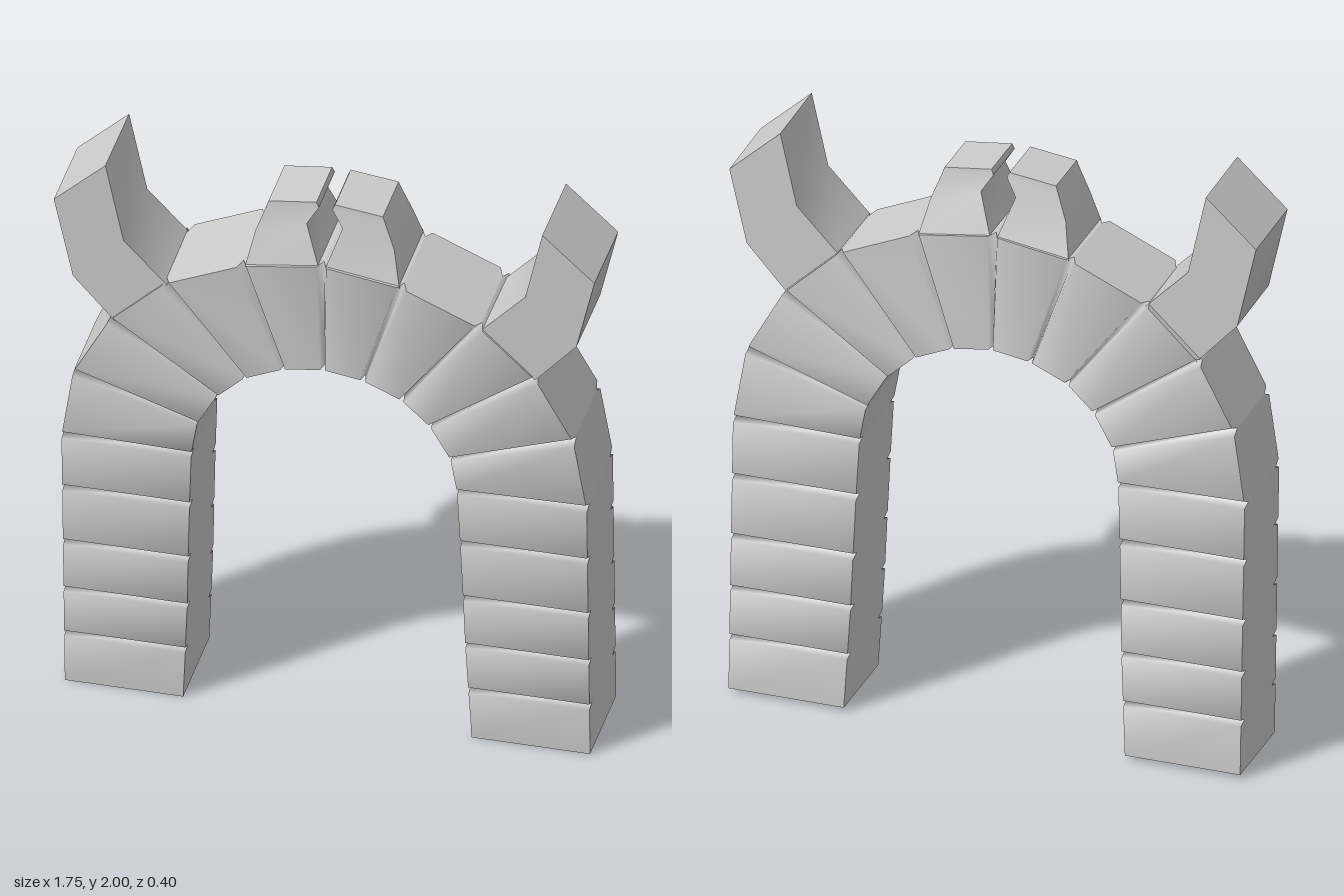
import * as THREE from 'three';
import { mergeGeometries } from 'three/addons/utils/BufferGeometryUtils.js';

// Skins four-cornered rings [leftX, leftY, rightX, rightY, halfDepth], listed along the direction of travel.
// Side order: 0 front, 1 right, 2 back, 3 left.
function loft(rings, { flat = [], cap = true } = {}) {
  const corners = rings.map(([ax, ay, bx, by, h]) => [[ax, ay, h], [bx, by, h], [bx, by, -h], [ax, ay, -h]]);
  const parts = [];
  const add = (points, index, isFlat) => {
    let g = new THREE.BufferGeometry();
    g.setAttribute('position', new THREE.Float32BufferAttribute(points.flat(), 3));
    g.setIndex(index);
    if (isFlat) g = g.toNonIndexed();
    g.computeVertexNormals();
    parts.push(g.index ? g.toNonIndexed() : g);
  };
  for (let side = 0; side < 4; side++) {
    const points = [], index = [];
    corners.forEach((c, i) => {
      points.push(c[side], c[(side + 1) % 4]);
      if (i) {
        const p = 2 * i - 2;
        index.push(p, p + 1, p + 3, p, p + 3, p + 2);
      }
    });
    add(points, index, flat.includes(side));
  }
  if (cap) {
    add(corners[0], [0, 2, 1, 0, 3, 2], true);
    add(corners[corners.length - 1], [0, 1, 2, 0, 2, 3], true);
  }
  return mergeGeometries(parts);
}

const mirrorRings = (rings) => rings.map(([ax, ay, bx, by, h]) => [-bx, by, -ax, ay, h]);

export function createModel() {
  const model = new THREE.Group();
  model.name = 'archway';
  const material = new THREE.MeshStandardMaterial({ color: 0xcccccc, side: THREE.DoubleSide });
  const mesh = (name, geometry, parent) => {
    const m = new THREE.Mesh(geometry, material);
    m.name = name;
    parent.add(m);
    return m;
  };

  // Leaning body that carries the arch and the crown claws
  const body = new THREE.Group();
  body.name = 'leaningBody';
  body.rotation.x = 0.045;
  body.position.set(-0.01, 0.0075, -0.035);
  model.add(body);

  // Joints of one half of the arch: inner x, y and outer x, y
  const half = [
    [0.467, 0, 0.85, 0], [0.458, 0.18, 0.85, 0.18], [0.45, 0.35, 0.85, 0.35],
    [0.445, 0.53, 0.85, 0.53], [0.438, 0.74, 0.85, 0.74], [0.43, 0.94, 0.85, 0.94],
    [0.41, 1.06, 0.81, 1.19], [0.345, 1.175, 0.69, 1.41], [0.255, 1.26, 0.51, 1.58],
    [0.13, 1.315, 0.26, 1.69], [0, 1.335, 0, 1.73],
  ];
  const joints = [...half, ...half.slice(0, -1).reverse().map(([ax, ay, bx, by]) => [-ax, ay, -bx, by])];

  // Every joint becomes a V-shaped groove across the front and back
  const depth = 0.163, groove = 0.035, gap = 0.06;
  const between = (a, b) => a.map((v, i) => v + (b[i] - v) * gap);
  const archRings = [];
  joints.forEach((j, i) => {
    const prev = joints[i - 1], next = joints[i + 1];
    if (prev) archRings.push([...between(j, prev), depth]);
    archRings.push([...j, prev && next ? depth - groove : depth]);
    if (next) archRings.push([...between(j, next), depth]);
  });
  // Plain foot rings replace the inset ones so the ends stay square and open
  mesh('segmentedArch', loft(archRings, { flat: [1], cap: false }), body);

  // Pair of tapered claws on the crown
  const clawRings = [
    [0.012, 1.725, 0.25, 1.685, 0.155],
    [0.058, 1.855, 0.225, 1.8, 0.115],
    [0.022, 1.912, 0.192, 1.89, 0.1],
    [0.03, 1.93, 0.185, 1.91, 0.098],
  ];
  mesh('leftCrownClaw', loft(clawRings), body);
  mesh('rightCrownClaw', loft(mirrorRings(clawRings)), body);

  // Bent horns on the shoulders, leaning a little less than the arch
  const horns = new THREE.Group();
  horns.name = 'horns';
  horns.rotation.x = 0.025;
  horns.position.z = 0.003;
  model.add(horns);
  const hornRings = (tipLift) => [
    [0.51, 1.575, 0.68, 1.41, 0.148],
    [0.65, 1.72, 0.815, 1.56, 0.148],
    [0.707, 1.965 + tipLift, 0.875, 1.81 + tipLift, 0.148],
  ];
  mesh('leftHorn', loft(hornRings(0)), horns).position.x = -0.003;
  mesh('rightHorn', loft(mirrorRings(hornRings(0.03))), horns).position.x = -0.003;

  return model;
}
